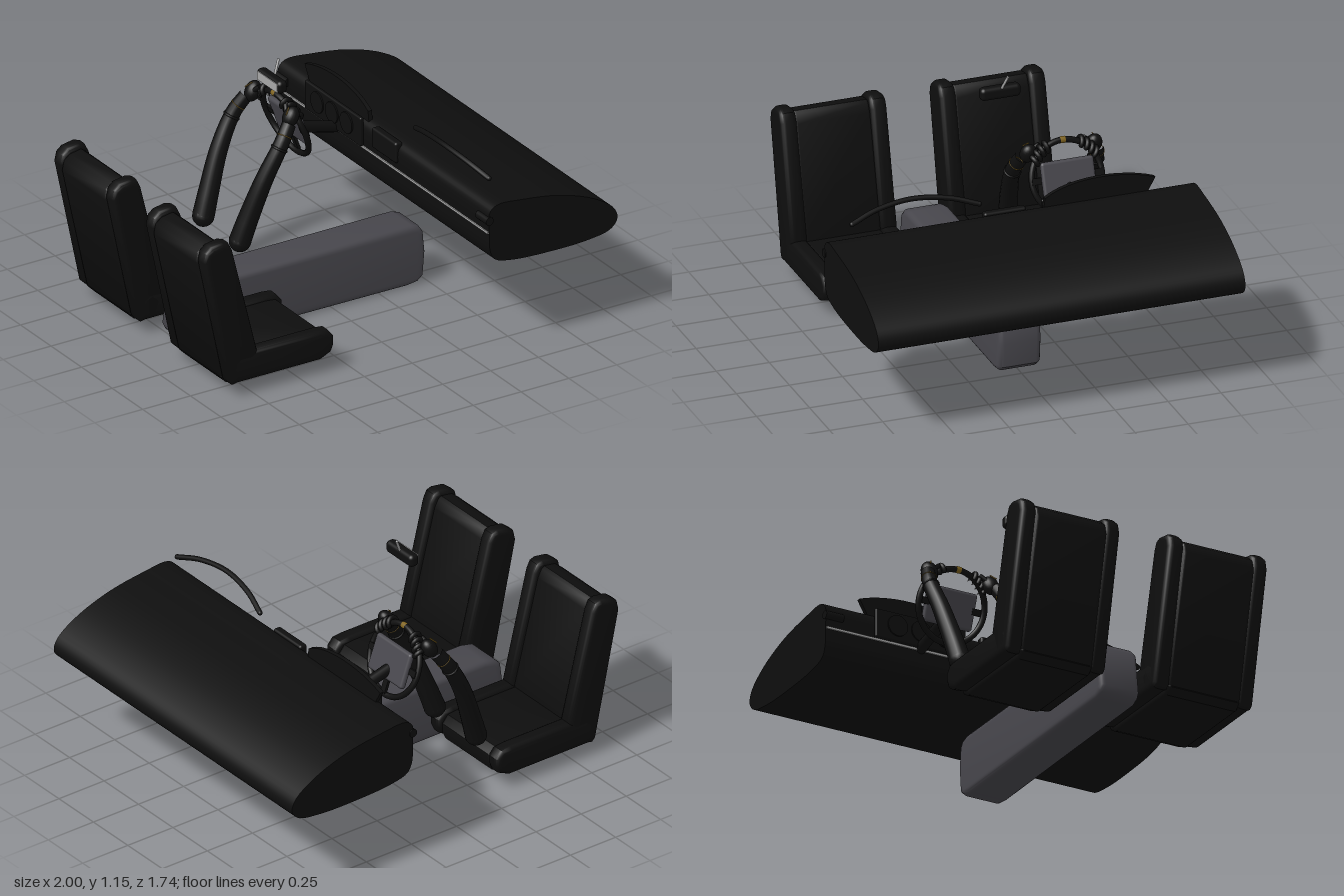
import * as THREE from 'three';
import { RoundedBoxGeometry } from 'three/addons/geometries/RoundedBoxGeometry.js';
import { toCreasedNormals } from 'three/addons/utils/BufferGeometryUtils.js';

const paint = (name, color) => {
  const m = new THREE.MeshStandardMaterial({ color });
  m.name = name;
  return m;
};
const V = (x, y, z) => new THREE.Vector3(x, y, z);

export function createModel() {
  const black = paint('black', 0x0e0e0e);
  const grey = paint('console grey', 0x48474d);
  const silver = paint('silver', 0xa8a8a8);
  const gold = paint('gold stitching', 0x80641f);
  const model = new THREE.Group();

  const add = (parent, name, geometry, material, x = 0, y = 0, z = 0) => {
    const mesh = new THREE.Mesh(geometry, material);
    mesh.name = name;
    mesh.position.set(x, y, z);
    parent.add(mesh);
    return mesh;
  };
  // Side profile in x-y, extruded along z with rounded edges, centred on z = 0
  const slab = (points, width, bevel) => {
    const shape = new THREE.Shape(points.map(p => new THREE.Vector2(...p)));
    const g = new THREE.ExtrudeGeometry(shape, {
      depth: width - 2 * bevel, bevelEnabled: bevel > 0, bevelSize: bevel,
      bevelThickness: bevel, bevelOffset: -bevel, bevelSegments: 4,
    });
    g.translate(0, 0, -width / 2 + bevel);
    return toCreasedNormals(g, 0.7);
  };
  const rod = (parent, name, a, b, r, material) => {
    const mesh = add(parent, name, new THREE.CylinderGeometry(r, r, a.distanceTo(b), 16), material);
    mesh.position.copy(a).add(b).multiplyScalar(0.5);
    mesh.quaternion.setFromUnitVectors(V(0, 1, 0), b.clone().sub(a).normalize());
    return mesh;
  };

  // Dashboard: smooth closed section running the full width
  const section = new THREE.CatmullRomCurve3([
    [0.33, 0.6], [0.332, 0.7], [0.37, 0.729], [0.5, 0.722], [0.7, 0.69], [0.88, 0.625], [0.98, 0.555],
    [1, 0.5], [0.965, 0.455], [0.85, 0.432], [0.65, 0.428], [0.45, 0.44], [0.36, 0.465], [0.335, 0.51],
  ].map(p => V(p[0], p[1], 0)), true, 'centripetal').getPoints(64).slice(0, 64).map(p => [p.x, p.y]);
  const dash = new THREE.Group();
  dash.name = 'dashboard';
  model.add(dash);
  add(dash, 'dashboardBody', slab(section, 1.73, 0), black);
  add(dash, 'dashboardTrim', new THREE.BoxGeometry(0.008, 0.01, 1.72), silver, 0.328, 0.6, 0);
  for (const s of [-1, 1]) {
    const vent = add(dash, 'sideVent', new THREE.CylinderGeometry(0.02, 0.02, 0.09, 16), black, 0.33, 0.66, s * 0.825);
    vent.rotation.x = Math.PI / 2;
  }
  add(dash, 'centreVent', new RoundedBoxGeometry(0.04, 0.1, 0.2, 3, 0.012), black, 0.335, 0.685, 0.02);

  // Instrument cluster with two gauges and a thin hood
  add(dash, 'instrumentPanel', new RoundedBoxGeometry(0.02, 0.14, 0.46, 3, 0.008), black, 0.32, 0.675, -0.39);
  for (const z of [-0.51, -0.39, -0.27]) {
    const gauge = add(dash, 'gauge', new THREE.CylinderGeometry(0.05, 0.05, 0.02, 24), black, 0.313, 0.68, z);
    gauge.rotation.z = Math.PI / 2;
  }
  const hoodShape = new THREE.Shape();
  hoodShape.moveTo(0.15, 0.7);
  hoodShape.lineTo(0.16, 0.77);
  hoodShape.bezierCurveTo(0.28, 0.85, 0.52, 0.85, 0.68, 0.79);
  hoodShape.lineTo(0.63, 0.7);
  const hood = add(dash, 'instrumentHood', new THREE.ExtrudeGeometry(hoodShape, { depth: 0.02, bevelEnabled: false }), black, 0.35);
  hood.rotation.y = Math.PI / 2;

  // Curved bar above the passenger side
  const barPath = new THREE.CatmullRomCurve3([
    V(0.395, 0.81, 0.16), V(0.365, 0.847, 0.29), V(0.35, 0.865, 0.46), V(0.365, 0.847, 0.63), V(0.395, 0.81, 0.76),
  ]);
  add(dash, 'passengerBar', new THREE.TubeGeometry(barPath, 32, 0.012, 10), black);
  for (const t of [0, 1]) {
    add(dash, 'passengerBarEnd', new THREE.SphereGeometry(0.012, 10, 8), black).position.copy(barPath.getPoint(t));
  }

  // Centre console
  add(model, 'centreConsole', slab([
    [-0.775, 0.06], [-0.76, 0.03], [-0.72, 0.01], [0.4, 0.003], [0.45, 0.01], [0.48, 0.035], [0.49, 0.15],
    [0.48, 0.25], [0.46, 0.28], [0.42, 0.293], [-0.66, 0.293], [-0.72, 0.28], [-0.75, 0.25],
  ], 0.2, 0.025), grey);

  // Seats: centre pads flanked by bolsters
  const cushion = (f, b, t) => [
    [-0.87, b + 0.03], [-0.84, b], [f - 0.07, b], [f - 0.015, b + 0.025], [f, b + 0.06],
    [f, t - 0.04], [f - 0.03, t - 0.005], [f - 0.08, t], [-0.82, t], [-0.86, t - 0.03],
  ];
  const backrest = (top, front) => [
    [-0.87, 0.08], [-0.85, 0.06], [-0.76, 0.08], [front, 0.2], [-0.85 + (front + 0.72), top - 0.05],
    [-0.87 + (front + 0.72), top - 0.01], [-0.9, top], [-0.96, top - 0.01], [-0.99, top - 0.035], [-1, top - 0.08],
  ];
  for (const z of [-0.38, 0.37]) {
    const seat = new THREE.Group();
    seat.name = 'seat';
    seat.position.z = z;
    model.add(seat);
    add(seat, 'seatCushion', slab(cushion(-0.335, 0.045, 0.19), 0.37, 0.02), black);
    add(seat, 'seatBack', slab(backrest(0.755, -0.735), 0.37, 0.02), black);
    for (const s of [-1, 1]) {
      add(seat, 'cushionBolster', slab(cushion(-0.32, 0.065, 0.205), 0.08, 0.025), black, 0, 0, s * 0.212);
      add(seat, 'backBolster', slab(backrest(0.775, -0.72), 0.08, 0.025), black, 0, 0, s * 0.212);
    }
  }

  // Steering wheel, tilted, with local x along its axis
  const wheel = new THREE.Group();
  wheel.name = 'steeringWheel';
  wheel.position.set(0.06, 0.705, -0.38);
  wheel.rotation.z = 0.35;
  model.add(wheel);
  add(wheel, 'wheelRim', new THREE.TorusGeometry(0.165, 0.014, 12, 48), black).rotation.y = Math.PI / 2;
  add(wheel, 'wheelHub', new RoundedBoxGeometry(0.03, 0.17, 0.25, 4, 0.014), grey, 0.02, -0.005, 0);
  for (const s of [-1, 1]) {
    add(wheel, 'wheelSpoke', new THREE.BoxGeometry(0.014, 0.03, 0.06), black, 0.01, 0, s * 0.138);
  }
  add(wheel, 'lowerSpoke', new THREE.BoxGeometry(0.014, 0.08, 0.03), black, 0.01, -0.12, 0);
  const mark = add(wheel, 'rimMark', new THREE.TorusGeometry(0.165, 0.0155, 12, 6, 0.14), gold);
  mark.rotation.set(0, Math.PI / 2, 0);
  mark.geometry.rotateZ(Math.PI / 2 - 0.07);
  rod(model, 'steeringColumn', V(0.08, 0.675, -0.38), V(0.35, 0.605, -0.38), 0.026, black);

  // Arms: tubes tapering towards the wrist, with gloved hands on the rim
  for (const s of [-1, 1]) {
    const arm = new THREE.Group();
    arm.name = s < 0 ? 'rightArm' : 'leftArm';
    arm.position.z = -0.38;
    model.add(arm);
    const path = new THREE.CatmullRomCurve3([
      V(-0.275, 0.27, s * 0.15), V(-0.245, 0.36, s * 0.16), V(-0.17, 0.56, s * 0.185),
      V(-0.09, 0.71, s * 0.195), V(-0.035, 0.79, s * 0.175),
    ]);
    const n = 30, sides = 14;
    const sleeve = new THREE.TubeGeometry(path, n, 1, sides);
    const p = sleeve.attributes.position, v = V();
    for (let i = 0; i < p.count; i++) {
      const t = Math.floor(i / (sides + 1)) / n, c = path.getPointAt(t);
      v.fromBufferAttribute(p, i).sub(c).multiplyScalar(0.05 - 0.018 * t).add(c);
      p.setXYZ(i, v.x, v.y, v.z);
    }
    add(arm, 'sleeve', sleeve, black);
    add(arm, 'elbow', new THREE.SphereGeometry(0.05, 16, 12), black).position.copy(path.getPoint(0));
    // Cuff and stitching
    const at = (name, t, r, tube, material) => {
      const ring = add(arm, name, new THREE.TorusGeometry(r, tube, 8, 24), material);
      ring.position.copy(path.getPointAt(t));
      ring.quaternion.setFromUnitVectors(V(0, 0, 1), path.getTangentAt(t));
    };
    at('cuff', 0.8, 0.034, 0.006, black);
    at('cuffStitch', 0.9, 0.0335, 0.002, gold);
    // Palm, fingers and thumb
    const palm = add(arm, 'palm', new THREE.SphereGeometry(1, 18, 14), black, -0.013, 0.812, s * 0.155);
    palm.scale.set(0.035, 0.05, 0.038);
    palm.rotation.z = -0.5;
    for (let i = 0; i < 4; i++) {
      const a = 0.58 + i * 0.16;
      const y = 0.165 * Math.sin(a), z = s * 0.165 * Math.cos(a);
      const finger = add(arm, 'finger', new THREE.TorusGeometry(0.024, 0.011, 8, 14, 4.4), black,
        0.06 - 0.342 * y, 0.705 + 0.94 * y, z);
      finger.rotation.set(s * (Math.PI / 2 - a) * 0.6, 0, -0.6);
    }
    rod(arm, 'thumb', V(-0.025, 0.82, s * 0.14), V(-0.008, 0.85, s * 0.105), 0.011, black);
    rod(arm, 'gloveStitch', V(-0.045, 0.835, s * 0.168), V(-0.02, 0.858, s * 0.15), 0.003, gold);
  }

  // Rear-view mirror
  const mirror = new THREE.Group();
  mirror.name = 'mirror';
  model.add(mirror);
  add(mirror, 'mirrorHousing', new RoundedBoxGeometry(0.05, 0.06, 0.19, 4, 0.02), black, -0.16, 1.062, -0.147);
  add(mirror, 'mirrorGlass', new THREE.BoxGeometry(0.004, 0.042, 0.165), silver, -0.185, 1.062, -0.147);
  rod(mirror, 'mirrorStalk', V(-0.145, 1.08, -0.15), V(-0.113, 1.148, -0.168), 0.006, silver);

  return model;
}
